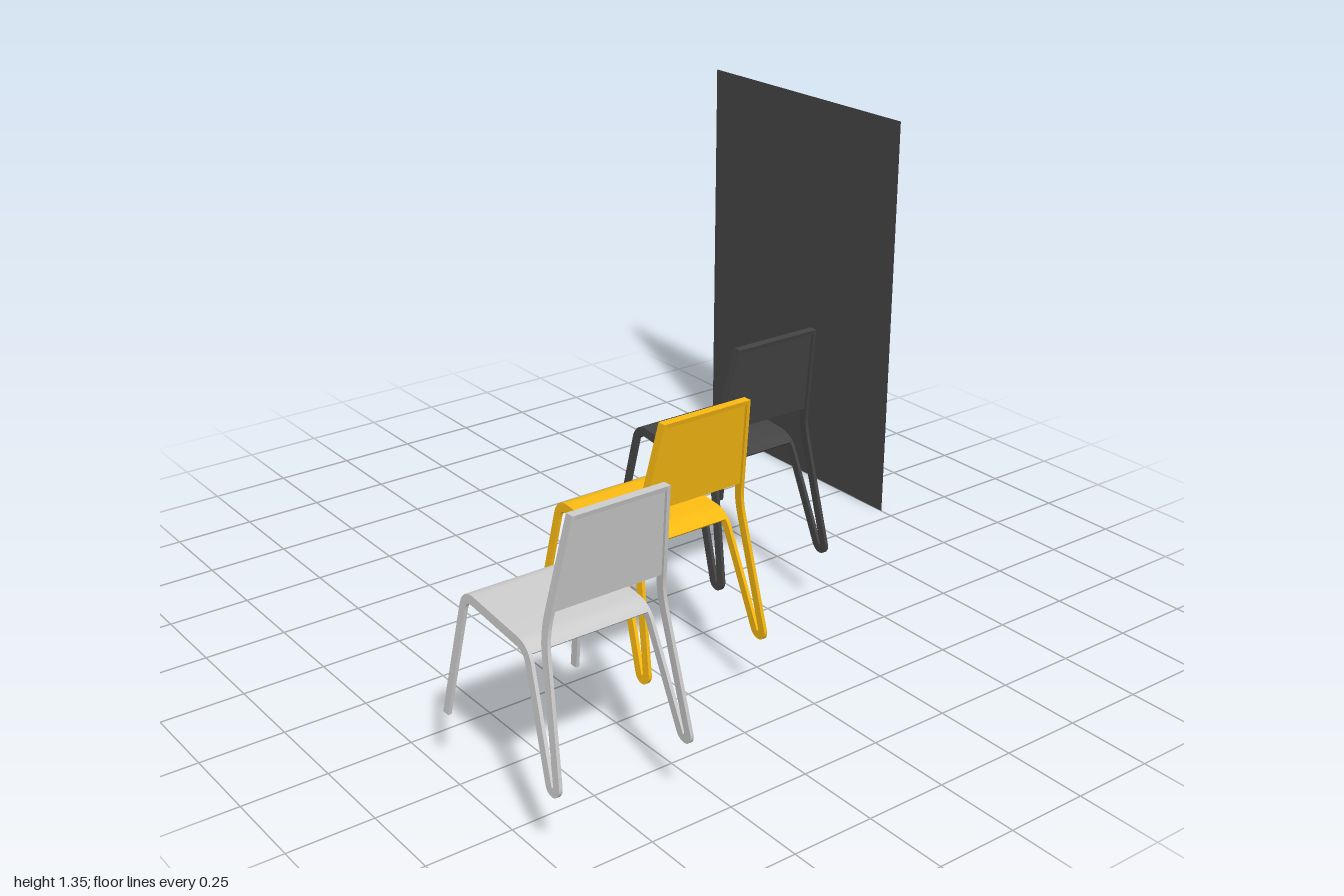
import * as THREE from 'three';
import { toCreasedNormals } from 'three/addons/utils/BufferGeometryUtils.js';

const FOOT = 0.187, TOP = 0.925, BAR = 0.026, THICK = 0.01;
const v = (x, y) => new THREE.Vector2(x, y);

// Half width of the chair at height y: legs splay out, back tapers in
const half = y => y < 0.56 ? 0.205 - (y - FOOT) * 0.07 : 0.179 - (y - 0.56) * 0.107;

// Points of a rounded corner at b, trimmed by d on both arms
function corner(a, b, c, d) {
  const p = b.clone().add(a.clone().sub(b).setLength(d));
  const q = b.clone().add(c.clone().sub(b).setLength(d));
  return new THREE.QuadraticBezierCurve(p, b, q).getPoints(10);
}

// Side path of the bent frame: front leg, seat, rear leg, U bend, upright
function framePath() {
  const foot = v(-0.144, 0.178), front = v(-0.07, 0.557), rear = v(0.211, 0.53);
  const waist = v(0.28, 0.6), top = v(0.345, 0.935);
  const bend = [];
  for (let i = 0; i <= 12; i++) {
    const a = THREE.MathUtils.lerp(Math.PI * 1.115, Math.PI * 2.065, i / 12);
    bend.push(v(0.344 + 0.017 * Math.cos(a), 0.225 + 0.017 * Math.sin(a)));
  }
  return [foot, ...corner(foot, front, rear, 0.04), ...corner(front, rear, bend[0], 0.04),
    ...bend, ...corner(bend[12], waist, top, 0.05), top];
}

// Strip along a side path between offsets lo and hi, spanning z0(y) to z1(y)
function strip(path, lo, hi, z0, z1) {
  const up = [], down = [];
  path.forEach((p, i) => {
    const t = path[Math.min(i + 1, path.length - 1)].clone().sub(path[Math.max(i - 1, 0)]).normalize();
    up.push(v(p.x - t.y * hi, p.y + t.x * hi));
    down.unshift(v(p.x - t.y * lo, p.y + t.x * lo));
  });
  const geo = new THREE.ExtrudeGeometry(new THREE.Shape([...up, ...down]), { depth: 1, bevelEnabled: false });
  const pos = geo.attributes.position;
  for (let i = 0; i < pos.count; i++) {
    const y = THREE.MathUtils.clamp(pos.getY(i), FOOT, TOP);
    pos.setY(i, y);
    pos.setZ(i, pos.getZ(i) > 0.5 ? z1(y) : z0(y));
  }
  return toCreasedNormals(geo, 0.6);
}

function createChair(color) {
  const chair = new THREE.Group();
  const material = new THREE.MeshStandardMaterial({ color });
  const add = (name, geo) => {
    const mesh = new THREE.Mesh(geo, material);
    mesh.name = name;
    chair.add(mesh);
  };
  const path = framePath();
  const inner = y => half(y) - THICK, h = BAR / 2;

  // Flat bar frames on both sides
  add('leftFrame', strip(path, -h, h, inner, half));
  add('rightFrame', strip(path, -h, h, y => -half(y), y => -inner(y)));

  // Seat sheet following the frame over both bends
  const seat = path.filter(p => p.y > 0.512 && p.x < 0.25);
  add('seat', strip(seat, 0, h, y => -inner(y), inner));

  // Recessed back panel and top rail
  const onUpright = y => v(0.28 + (y - 0.6) * 0.194, y);
  add('backrest', strip([onUpright(0.66), onUpright(0.92)], -0.006, 0.004, y => -inner(y), inner));
  add('topRail', strip([onUpright(0.914), onUpright(0.935)], -h, h, y => -inner(y), inner));
  return chair;
}

export function createModel() {
  const model = new THREE.Group();
  const dark = 0x444444;

  // Row of three chairs, stepped diagonally
  [['darkChair', dark], ['yellowChair', 0xf8b912], ['greyChair', 0xcccccc]].forEach(([name, color], i) => {
    const chair = createChair(color);
    chair.name = name;
    chair.position.set(i * 0.294, 0, -0.173 + i * 0.484);
    model.add(chair);
  });

  // Thin upright panel behind the chairs
  const panel = new THREE.Mesh(new THREE.PlaneGeometry(0.918, 1.345),
    new THREE.MeshStandardMaterial({ color: dark, side: THREE.DoubleSide }));
  panel.name = 'backPanel';
  panel.position.set(-0.506, 0.6725, -1);
  model.add(panel);
  return model;
}
